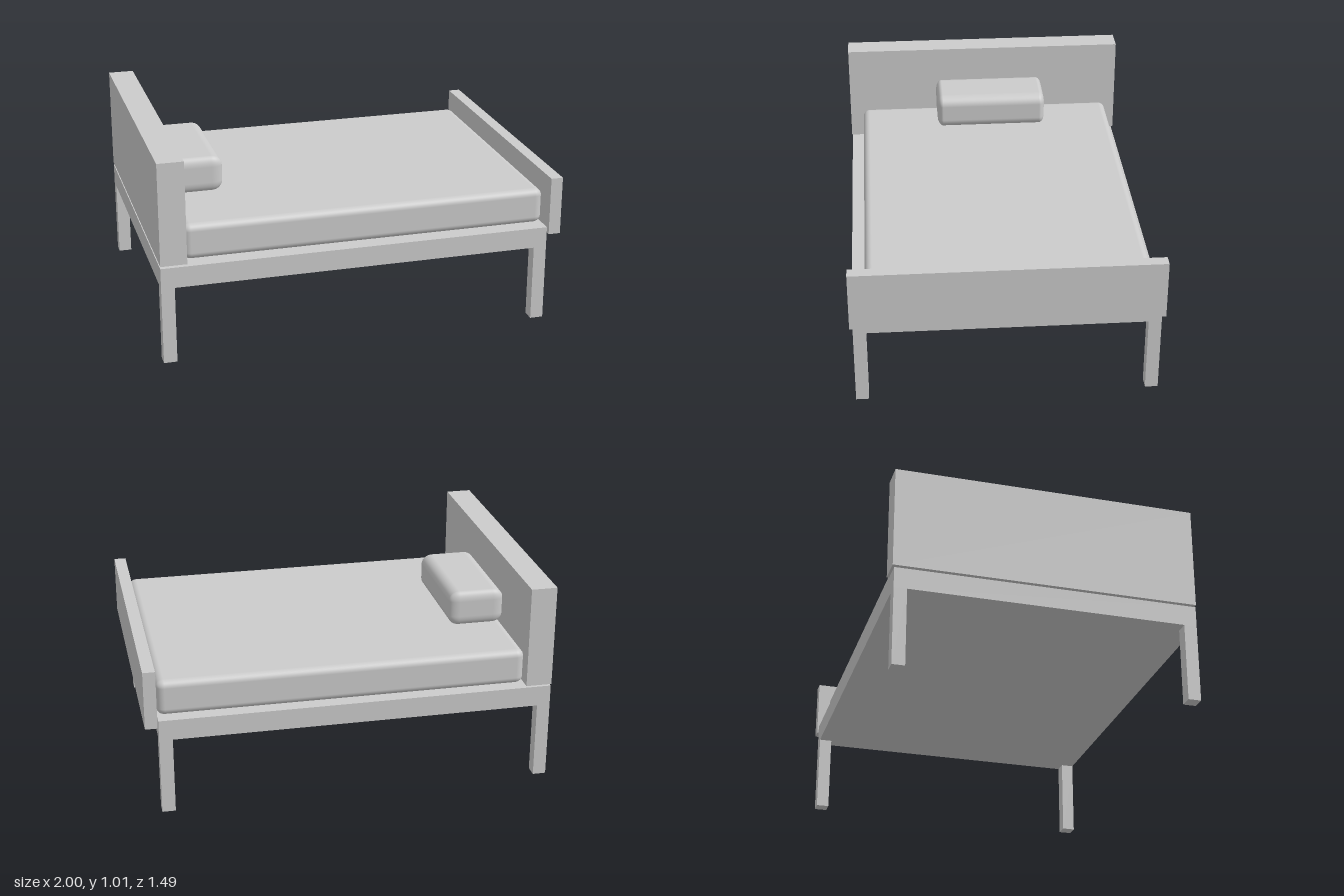
import * as THREE from 'three';
import { RoundedBoxGeometry } from 'three/addons/geometries/RoundedBoxGeometry.js';

const material = new THREE.MeshStandardMaterial({ color: 0xcccccc });

// Mesh spanning the given [min, max] ranges; radii give soft edges per axis
function block(name, x, y, z, radii) {
  const size = [x, y, z].map(([a, b]) => b - a);
  let geometry;
  if (radii) {
    const [w, h, d] = size.map((s, i) => s / radii[i]);
    geometry = new RoundedBoxGeometry(w, h, d, 6, 1).scale(...radii);
  } else {
    geometry = new THREE.BoxGeometry(...size);
  }
  const mesh = new THREE.Mesh(geometry, material);
  mesh.name = name;
  mesh.position.set((x[0] + x[1]) / 2, (y[0] + y[1]) / 2, (z[0] + z[1]) / 2);
  return mesh;
}

export function createModel() {
  const bed = new THREE.Group();
  bed.name = 'bed';

  // Solid bed base on four square legs
  bed.add(block('frame', [-1, 0.935], [0.385, 0.488], [-0.738, 0.735]));
  for (const x of [[-1, -0.935], [0.87, 0.935]]) {
    for (const z of [[-0.738, -0.675], [0.672, 0.735]]) {
      bed.add(block('leg', x, [0, 0.385], z));
    }
  }

  // End boards; the headboard sits just above the frame
  bed.add(block('headboard', [-1, -0.872], [0.5, 1.01], [-0.745, 0.738]));
  bed.add(block('footboard', [0.94, 1], [0.455, 0.748], [-0.745, 0.748]));

  // Bedding
  bed.add(block('mattress', [-0.877, 0.935], [0.486, 0.664], [-0.687, 0.668], [0.04, 0.035, 0.035]));
  bed.add(block('pillow', [-0.877, -0.594], [0.662, 0.841], [-0.324, 0.26], [0.055, 0.05, 0.03]));

  return bed;
}
